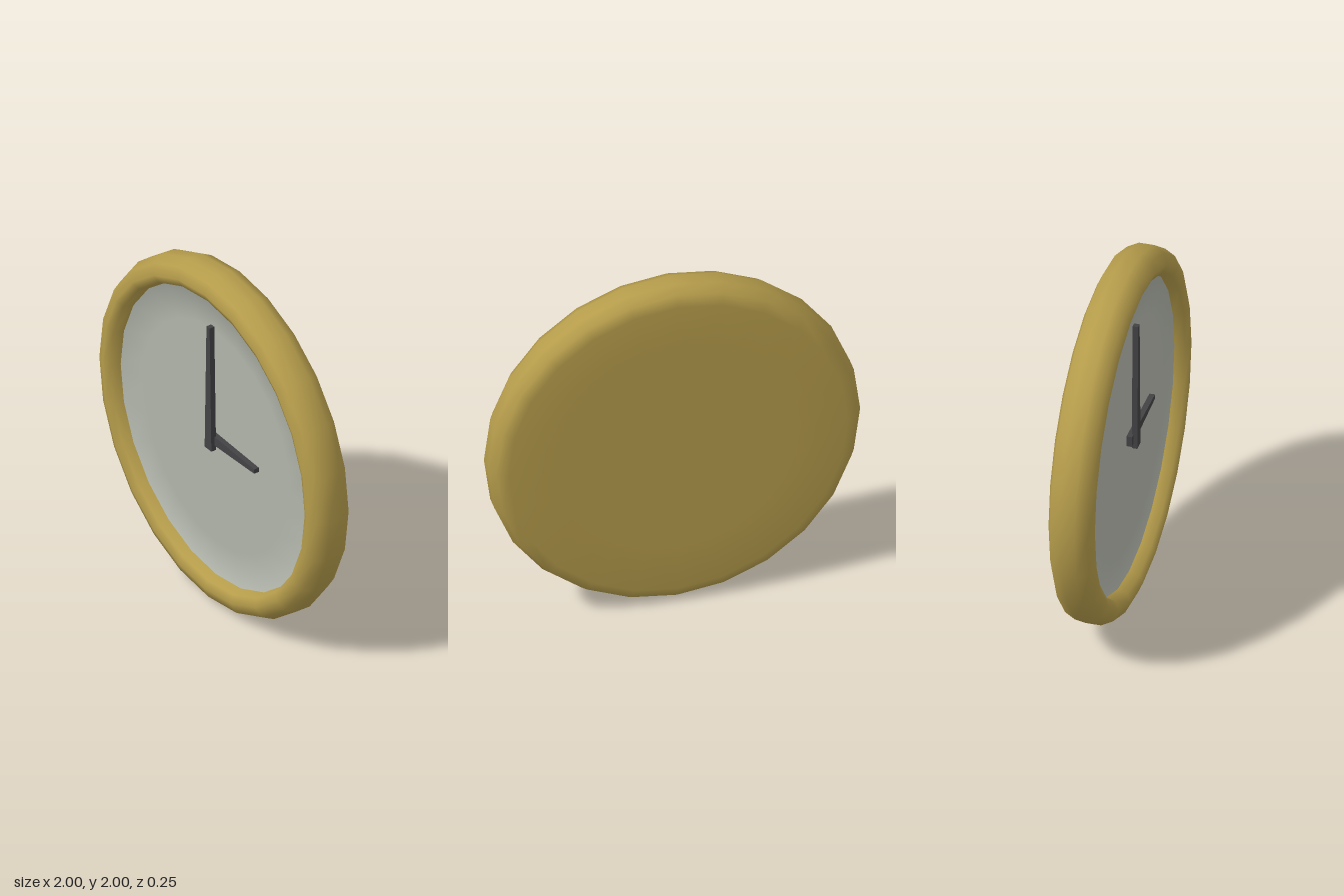
import * as THREE from 'three';

const SIDES = 24;

// Lathe turned so that its axis points along +z
function turned(points) {
  const g = new THREE.LatheGeometry(points.map(([r, z]) => new THREE.Vector2(r, z)), SIDES);
  return g.rotateX(Math.PI / 2);
}

// Tapered flat hand pointing along +y from its pivot
function handGeometry(tail, length, tailWidth, tipWidth, depth) {
  const s = new THREE.Shape();
  s.moveTo(-tailWidth / 2, -tail);
  s.lineTo(tailWidth / 2, -tail);
  s.lineTo(tipWidth / 2, length);
  s.lineTo(-tipWidth / 2, length);
  s.closePath();
  return new THREE.ExtrudeGeometry(s, { depth, bevelEnabled: false });
}

export function createModel() {
  const mat = (name, color) => {
    const m = new THREE.MeshStandardMaterial({ color });
    m.name = name;
    return m;
  };
  const gold = mat('gold', 0xb59c4b);
  const pale = mat('pale grey', 0xb1b5aa);
  const dark = mat('dark grey', 0x434345);

  const clock = new THREE.Group();
  clock.name = 'wallClock';
  const add = (name, geometry, material, z = 0) => {
    const mesh = new THREE.Mesh(geometry, material);
    mesh.name = name;
    mesh.position.set(0, 1, z);
    clock.add(mesh);
    return mesh;
  };

  // Rounded case: closed back, outer edge, front rim and inner wall
  add('case', turned([
    [0, -0.125], [0.65, -0.125], [0.91, -0.125], [0.97, -0.1], [1, -0.04],
    [1, 0.04], [0.97, 0.1], [0.91, 0.125], [0.865, 0.105], [0.85, 0.05],
  ]), gold);

  // Recessed dial, its border normals leaning inwards to blend with the wall
  const dial = turned([[0.85, 0.05], [0.65, 0.05], [0, 0.05]]);
  const pos = dial.attributes.position;
  const nor = dial.attributes.normal;
  for (let i = 0; i < pos.count; i++) {
    const x = pos.getX(i), y = pos.getY(i);
    const n = new THREE.Vector3(0, 0, 1);
    if (Math.hypot(x, y) > 0.8) n.set(-x * 0.5, -y * 0.5, 1).normalize();
    nor.setXYZ(i, n.x, n.y, n.z);
  }
  add('dial', dial, pale);

  // Hands at three o'clock
  add('minuteHand', handGeometry(0.055, 0.7, 0.06, 0.028, 0.03), dark, 0.072);
  const hour = add('hourHand', handGeometry(0.055, 0.38, 0.06, 0.026, 0.03), dark, 0.05);
  hour.rotation.z = -Math.PI / 2;

  return clock;
}
